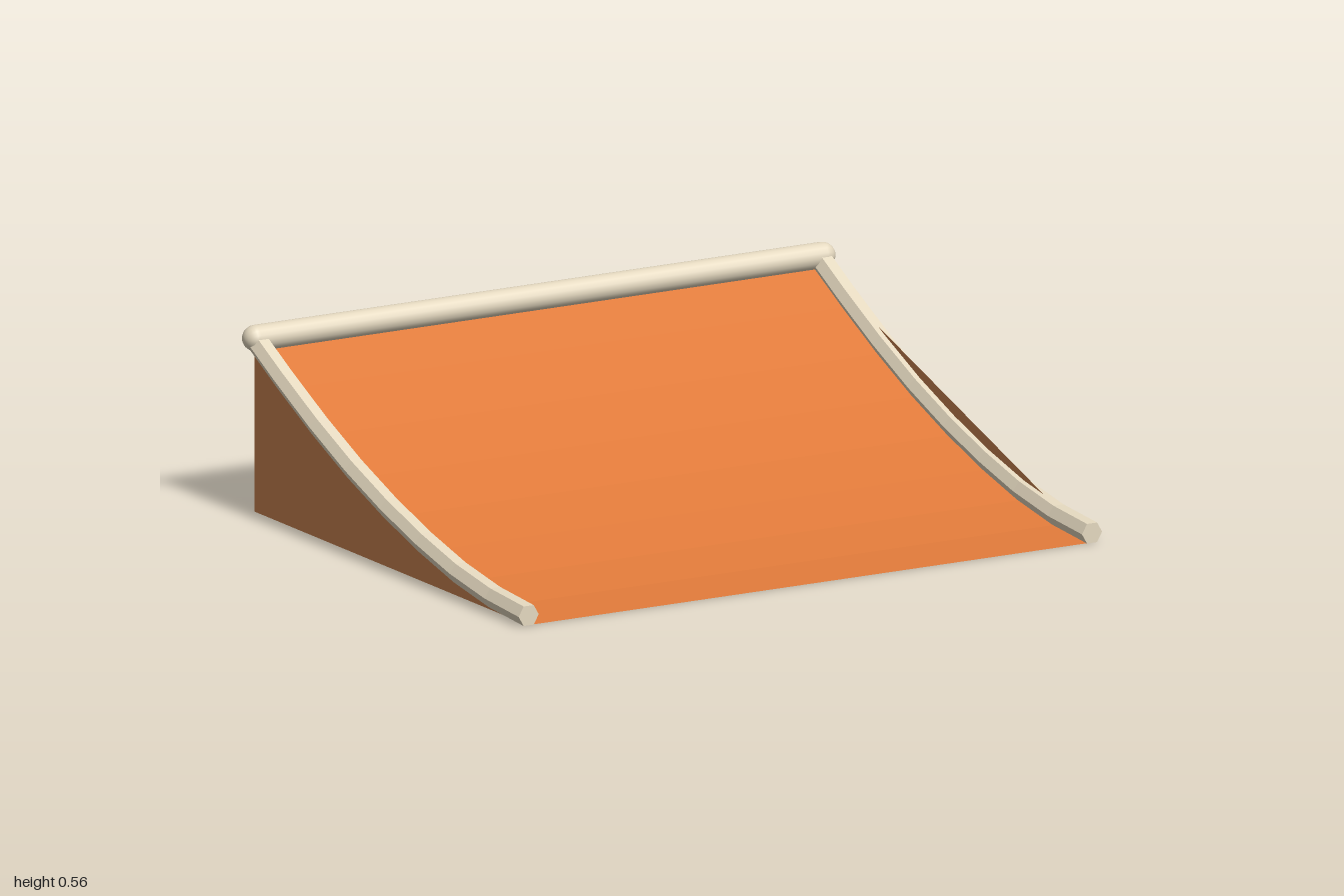
import * as THREE from 'three';

// Ramp profile from front edge to back lip, as [z, y]
const PROFILE = [
  [0.79, 0], [0.6, 0.013], [0.4, 0.044], [0.2, 0.092], [0, 0.152],
  [-0.2, 0.224], [-0.4, 0.309], [-0.6, 0.405], [-0.77, 0.493],
];
const LAST = PROFILE.length - 1;
const HALF = 0.955;
const BACK = PROFILE[LAST][0];
const TOP = PROFILE[LAST][1];

function material(name, color, side = THREE.FrontSide, flatShading = false) {
  const m = new THREE.MeshStandardMaterial({ color, side, flatShading });
  m.name = name;
  return m;
}

function createModel() {
  const group = new THREE.Group();
  const orange = material('orange deck', 0xe07a3a, THREE.DoubleSide, true);
  const brown = material('brown panel', 0xc98350, THREE.DoubleSide);
  const beige = material('beige rail', 0xe4d8bf);

  const add = (name, geometry, mat) => {
    const mesh = new THREE.Mesh(geometry, mat);
    mesh.name = name;
    group.add(mesh);
    return mesh;
  };

  // Curved riding surface: a plane bent along the profile
  const deck = new THREE.PlaneGeometry(HALF * 2, 1, 1, LAST);
  const dp = deck.attributes.position;
  for (let i = 0; i < dp.count; i++) {
    const [z, y] = PROFILE[Math.round((dp.getY(i) + 0.5) * LAST)];
    dp.setXYZ(i, dp.getX(i), y, z);
  }
  deck.computeVertexNormals();
  add('curvedDeck', deck, orange);

  // Side panels: one follows the curve, the other is a straight-edged triangle
  const sidePanel = (name, x, outline) => {
    const points = [...outline, [BACK, 0]].map(([z, y]) => new THREE.Vector2(-z, y));
    const geometry = new THREE.ShapeGeometry(new THREE.Shape(points));
    geometry.rotateY(Math.PI / 2);
    add(name, geometry, brown).position.x = x;
  };
  sidePanel('rightSidePanel', -HALF, PROFILE);
  sidePanel('leftSidePanel', HALF, [PROFILE[0], PROFILE[LAST]]);

  // Back wall
  const back = new THREE.PlaneGeometry(HALF * 2, TOP);
  back.rotateY(Math.PI);
  add('backPanel', back, brown).position.set(0, TOP / 2, BACK);

  // Hexagonal side rails, bent along the profile and resting on it
  const railGeometry = () => {
    const r = 0.034;
    const lift = 0.03;
    let geometry = new THREE.CylinderGeometry(r, r, 1, 6, LAST, false, Math.PI / 6);
    const p = geometry.attributes.position;
    for (let i = 0; i < p.count; i++) {
      const k = Math.round((p.getY(i) + 0.5) * LAST);
      const a = PROFILE[Math.max(k - 1, 0)];
      const b = PROFILE[Math.min(k + 1, LAST)];
      const slope = k === 0 ? 0 : Math.atan2(b[1] - a[1], a[0] - b[0]);
      const [z, y] = PROFILE[k];
      const up = p.getZ(i);
      const frontZ = k === 0 ? 0.795 : z;
      p.setXYZ(i, p.getX(i), y + lift + up * Math.cos(slope), frontZ + up * Math.sin(slope));
    }
    geometry = geometry.toNonIndexed();
    geometry.computeVertexNormals();
    return geometry;
  };
  for (const [name, side] of [['leftRail', 1], ['rightRail', -1]]) {
    add(name, railGeometry(), beige).position.x = side * HALF;
  }

  // Round coping bar along the back lip
  const bar = new THREE.CapsuleGeometry(0.039, 1.922, 6, 16);
  bar.rotateZ(Math.PI / 2);
  add('copingBar', bar, beige).position.set(0, 0.526, -0.756);

  return group;
}

export { createModel };
